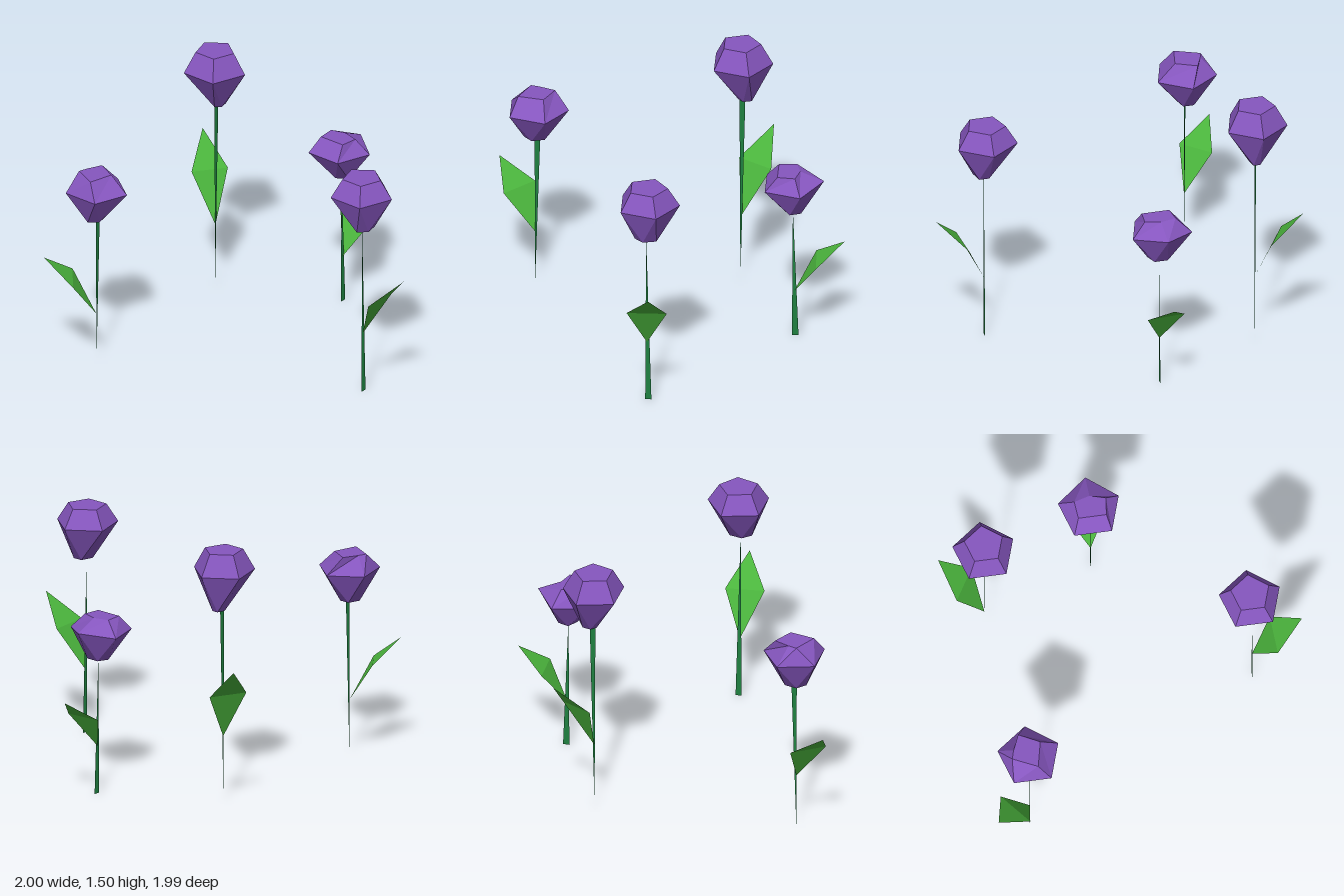
import * as THREE from 'three';

const petal = new THREE.MeshStandardMaterial({ color: 0x8656bf, flatShading: true });
petal.name = 'purple petal';
const leafGreen = new THREE.MeshStandardMaterial({ color: 0x4bb53d, flatShading: true, side: THREE.DoubleSide });
leafGreen.name = 'leaf green';
const stemGreen = new THREE.MeshStandardMaterial({ color: 0x1f8040, flatShading: true, side: THREE.DoubleSide });
stemGreen.name = 'stem green';

// Faceted mesh from triangles of corner points
function facets(name, triangles, material) {
  const geometry = new THREE.BufferGeometry();
  geometry.setAttribute('position', new THREE.Float32BufferAttribute(triangles.flat(2), 3));
  geometry.computeVertexNormals();
  const mesh = new THREE.Mesh(geometry, material);
  mesh.name = name;
  return mesh;
}

// Five-sided ring; radii may differ in x and z
function ring(cx, y, cz, rx, rz = rx, turn = 0) {
  return Array.from({ length: 5 }, (_, i) => {
    const a = (i * 2 * Math.PI) / 5 + turn;
    return [cx + rx * Math.cos(a), y, cz + rz * Math.sin(a)];
  });
}

// Gem-like bloom: base ring twisted against the wide ring, crown ring on top
function bloom({ x, z, y, base, crown, lift = 0 }) {
  const wide = ring(x, y[1], z, 0.182);
  wide[0][1] += lift;
  const [x0, x1, z0, z1] = base;
  const low = ring((x0 + x1) / 2, y[0], (z0 + z1) / 2, (x1 - x0) / 1.81, (z1 - z0) / 1.9, Math.PI / 5);
  const top = crown ? crown.map(([px, pz]) => [px, y[2], pz]) : ring(x, y[2], z, 0.114);
  const tris = [];
  for (let i = 0; i < 5; i++) {
    const j = (i + 1) % 5;
    tris.push([low[i], wide[i], wide[j]], [low[i], wide[j], low[j]]);
    tris.push([wide[i], top[i], wide[j]], [top[i], top[j], wide[j]]);
  }
  for (let i = 1; i < 4; i++) {
    tris.push([top[0], top[i + 1], top[i]], [low[0], low[i], low[i + 1]]);
  }
  return facets('bloom', tris, petal);
}

// Leaf: base, two side corners and tip, folded across the sides
function leaf([base, left, right, tip]) {
  return facets('leaf', [[base, right, left], [left, right, tip]], leafGreen);
}

// Each flower: bloom heights (base, wide ring, crown), flat tapering stem, folded leaf
const flowers = [
  {
    name: 'leftBackFlower', x: -0.777, z: -0.665, y: [0.917, 1.1, 1.2],
    base: [-0.842, -0.725, -0.725, -0.625],
    crown: [[-0.676, -0.714], [-0.735, -0.596], [-0.88, -0.628], [-0.815, -0.767], [-0.765, -0.752]],
    stem: [[-0.786, 0], [-0.757, 0.925], [-0.789, 0.925]], stemZ: -0.663,
    leaf: [[-0.787, 0.32, -0.663], [-0.965, 0.545, -0.685], [-0.797, 0.555, -0.83], [-1, 0.69, -0.87]],
  },
  {
    name: 'frontFlower', x: -0.071, z: 0.695, y: [1.035, 1.243, 1.35],
    base: [-0.136, -0.013, 0.67, 0.763],
    stem: [[-0.085, 0], [-0.05, 0], [-0.08, 1.05]], stemZ: 0.703,
    leaf: [[-0.075, 0.366, 0.703], [-0.183, 0.62, 0.835], [0.043, 0.613, 0.82], [-0.053, 0.78, 0.99]],
  },
  {
    name: 'rightBackFlower', x: 0.372, z: -0.762, y: [1.152, 1.382, 1.505],
    base: [0.362, 0.439, -0.785, -0.725],
    stem: [[0.369, 0], [0.397, 1.16], [0.364, 1.16]], stemZ: -0.76,
    leaf: [[0.372, 0.4, -0.76], [0.353, 0.69, -0.92], [0.54, 0.68, -0.81], [0.545, 0.867, -1]],
  },
  {
    name: 'rightFlower', x: 0.697, z: -0.115, y: [0.8, 0.963, 1.048],
    base: [0.656, 0.757, -0.17, -0.045], lift: 0.024,
    crown: [[0.745, -0.11], [0.72, -0.02], [0.62, -0.03], [0.62, -0.19], [0.72, -0.2]],
    stem: [[0.698, 0], [0.735, 0], [0.703, 0.81]], stemZ: -0.108,
    leaf: [[0.71, 0.28, -0.108], [0.84, 0.48, -0.005], [0.83, 0.485, -0.222], [0.995, 0.602, -0.118]],
  },
];

export function createModel() {
  const model = new THREE.Group();
  model.name = 'flowers';
  for (const f of flowers) {
    const flower = new THREE.Group();
    flower.name = f.name;
    const blade = f.stem.map(([x, y]) => [x, y, f.stemZ]);
    flower.add(bloom(f), facets('stem', [blade], stemGreen), leaf(f.leaf));
    model.add(flower);
  }
  return model;
}
